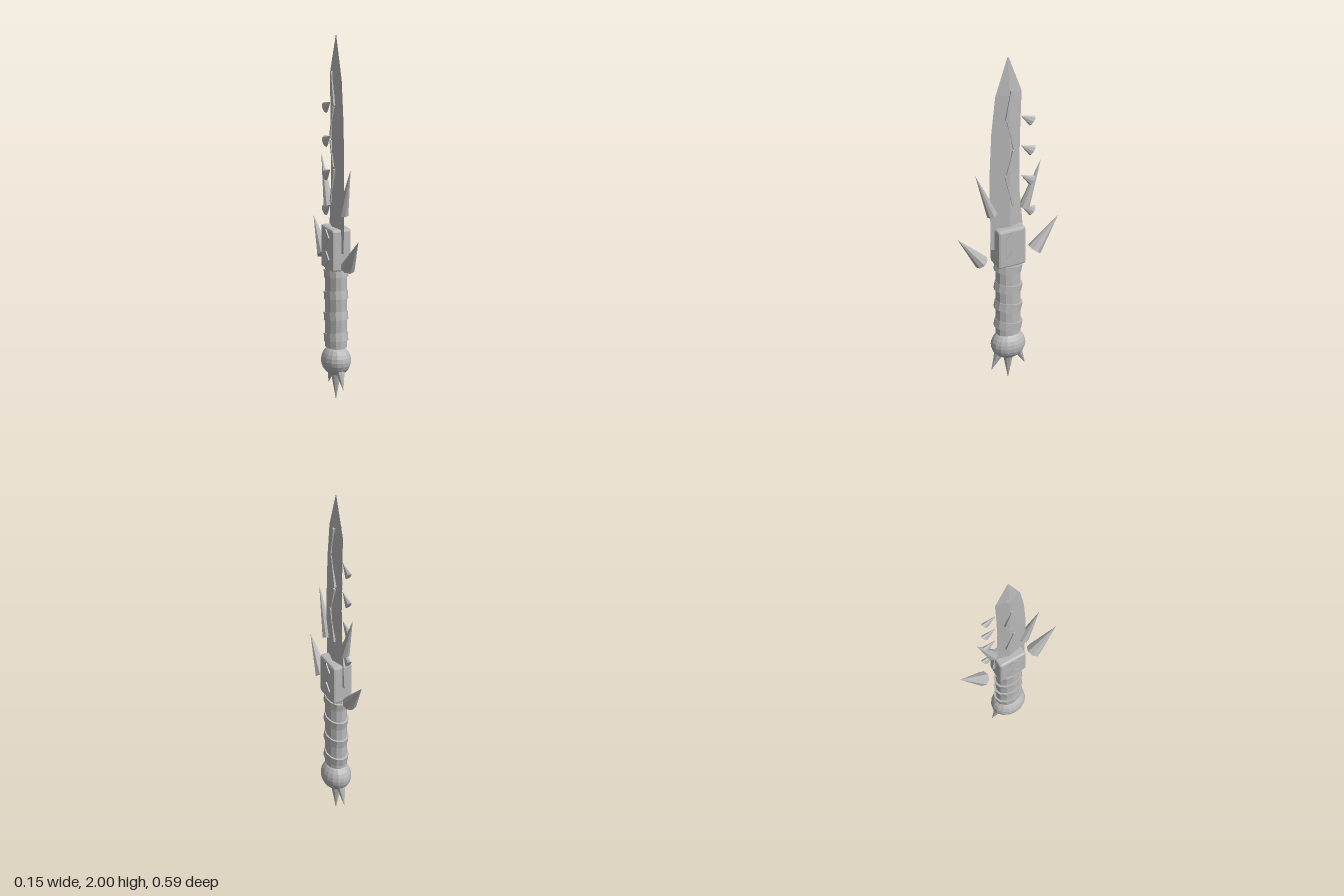
import * as THREE from 'three';
import { RoundedBoxGeometry } from 'three/addons/geometries/RoundedBoxGeometry.js';

export function createModel() {
  const group = new THREE.Group();
  const steel = new THREE.MeshStandardMaterial({ color: 0xb8b8b8, flatShading: true });
  steel.name = 'steel';

  const add = (name, geometry, x = 0, y = 0, z = 0) => {
    const mesh = new THREE.Mesh(geometry, steel);
    mesh.name = name;
    mesh.position.set(x, y, z);
    group.add(mesh);
    return mesh;
  };

  // Cone in the x = 0 plane, from a base centre [z, y] to a tip [z, y]
  const up = new THREE.Vector3(0, 1, 0);
  const spike = (name, base, tip, radius, sides = 8, flatten = 1) => {
    const a = new THREE.Vector3(0, base[1], base[0]);
    const b = new THREE.Vector3(0, tip[1], tip[0]);
    const dir = b.clone().sub(a);
    const mesh = add(name, new THREE.ConeGeometry(radius, dir.length(), sides));
    mesh.position.copy(a).add(b).multiplyScalar(0.5);
    mesh.quaternion.setFromUnitVectors(up, dir.normalize());
    mesh.scale.x = flatten;
  };

  // Blade: diamond section lofted through [y, front edge z, back edge z, half thickness]
  const sections = [
    [2.0, 0.003, -0.003, 0.001],
    [1.77, 0.075, -0.08, 0.02],
    [1.55, 0.098, -0.072, 0.022],
    [1.3, 0.108, -0.066, 0.022],
    [1.15, 0.108, -0.068, 0.022],
    [1.0, 0.104, -0.08, 0.022],
    [0.82, 0.1, -0.096, 0.022],
  ];
  const last = sections.length - 1;
  const blade = new THREE.CylinderGeometry(1, 1, last, 4, last);
  const pos = blade.attributes.position;
  for (let i = 0; i < pos.count; i++) {
    const [y, front, back, thick] = sections[Math.round(last / 2 - pos.getY(i))];
    const z = pos.getZ(i);
    pos.setXYZ(i, pos.getX(i) * thick, y, z > 0 ? z * front : -z * back);
  }
  add('blade', blade);

  // Zigzag slivers running through the blade: [z, y] top to [z, y] bottom
  const slivers = [
    [[-0.012, 1.8], [0.02, 1.62]],
    [[0.012, 1.61], [-0.026, 1.43]],
    [[-0.022, 1.42], [0.014, 1.28]],
    [[0.024, 1.27], [-0.02, 1.08]],
  ];
  for (const [[z0, y0], [z1, y1]] of slivers) {
    const length = Math.hypot(z1 - z0, y1 - y0);
    const mesh = add('bladeSliver', new THREE.BoxGeometry(0.052, length, 0.011),
      0, (y0 + y1) / 2, (z0 + z1) / 2);
    mesh.rotation.x = Math.atan2(z0 - z1, y0 - y1);
  }

  // Teeth along the back of the blade
  for (const y of [1.613, 1.427, 1.242, 1.052]) {
    spike('backTooth', [-0.144, y - 0.048], [-0.075, y], 0.032, 8, 0.5);
  }

  // Guard block with two diamond studs on each side
  add('guard', new RoundedBoxGeometry(0.11, 0.23, 0.16, 1, 0.012), 0, 0.835, 0);
  for (const side of [-1, 1]) {
    for (const y of [0.9, 0.78]) {
      const stud = add('guardStud', new THREE.BoxGeometry(0.009, 0.058, 0.058), side * 0.057, y, 0);
      stud.rotation.x = Math.PI / 4;
    }
  }

  // Guard spikes, and the smaller spikes beside the blade
  for (const s of [-1, 1]) {
    spike('guardSpike', [s * 0.155, 0.76], [s * 0.295, 0.937], 0.04);
    spike('bladeSpike', [s * 0.094, 1.04], [s * 0.193, 1.31], 0.03);
  }

  // Oval grip with tilted wraps
  add('grip', new THREE.CylinderGeometry(1, 1, 0.44, 12), 0, 0.51, 0).scale.set(0.054, 1, 0.07);
  for (const y of [0.345, 0.46, 0.575, 0.695]) {
    const wrap = add('gripWrap', new THREE.CylinderGeometry(1, 1, 0.046, 12), 0, y, 0);
    wrap.scale.set(0.061, 1, 0.078);
    wrap.rotation.x = -0.2;
  }

  // Pommel with three spikes underneath
  add('pommel', new THREE.SphereGeometry(1, 16, 12), 0, 0.218, 0).scale.set(0.077, 0.083, 0.095);
  spike('pommelSpike', [0, 0.165], [0, 0], 0.032);
  for (const s of [-1, 1]) {
    spike('pommelSpike', [s * 0.055, 0.165], [s * 0.098, 0.07], 0.025);
  }

  return group;
}
